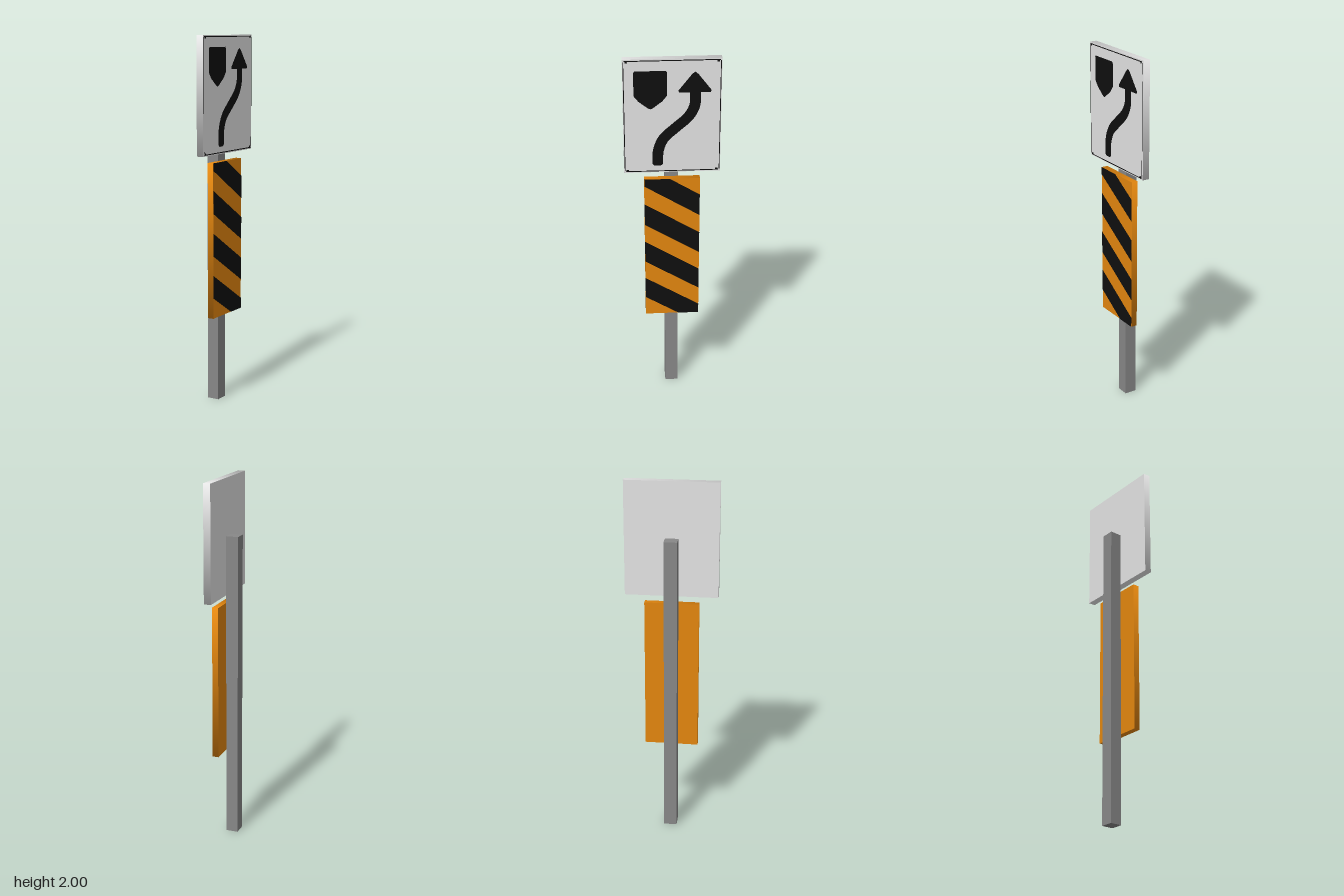
import * as THREE from 'three';

const mat = (name, color) => {
  const m = new THREE.MeshStandardMaterial({ color });
  m.name = name;
  return m;
};

export function createModel() {
  const group = new THREE.Group();
  const steel = mat('steel grey', 0x888888);
  const white = mat('sign white', 0xe4e4e4);
  const orange = mat('safety orange', 0xe4870f);
  const black = mat('marking black', 0x0f0f0f);

  const add = (name, geometry, material) => {
    const mesh = new THREE.Mesh(geometry, material);
    mesh.name = name;
    group.add(mesh);
    return mesh;
  };

  const box = (x0, x1, y0, y1, z0, z1) =>
    new THREE.BoxGeometry(x1 - x0, y1 - y0, z1 - z0)
      .translate((x0 + x1) / 2, (y0 + y1) / 2, (z0 + z1) / 2);

  // Panel whose rim is shaded smoothly round its corners
  const panel = (x0, x1, y0, y1, z0, z1) => {
    const g = box(x0, x1, y0, y1, z0, z1);
    const p = g.attributes.position, n = g.attributes.normal;
    for (let i = 0; i < p.count; i++) {
      if (Math.abs(n.getX(i)) > 0.5) continue;
      n.setXYZ(i, 0, Math.sign(p.getY(i) - (y0 + y1) / 2) * Math.SQRT1_2,
        Math.sign(p.getZ(i) - (z0 + z1) / 2) * Math.SQRT1_2);
    }
    return g;
  };

  // Flat marking facing +x; points are [u, y] with u running toward -z
  const marking = (name, points, x) => {
    const shape = new THREE.Shape(points.map(([u, y]) => new THREE.Vector2(u, y)));
    return add(name, new THREE.ShapeGeometry(shape).rotateY(Math.PI / 2).translate(x, 0, 0), black);
  };

  add('post', box(-0.055, 0.012, 0, 1.695, -0.034, 0.037), steel);
  add('signPanel', panel(0.012, 0.051, 1.376, 2, -0.251, 0.251), white);
  add('hazardPanel', panel(0.014, 0.048, 0.49, 1.333, -0.147, 0.147), orange);

  // Slanted hazard stripes, clipped to the panel's height
  const clip = (poly, limit, sign) => {
    const out = [];
    poly.forEach((a, i) => {
      const b = poly[(i + 1) % poly.length];
      const da = sign * (limit - a[1]), db = sign * (limit - b[1]);
      if (da >= 0) out.push(a);
      if (da * db < 0) {
        const t = da / (da - db);
        out.push([a[0] + (b[0] - a[0]) * t, limit]);
      }
    });
    return out;
  };
  const w = 0.147, drop = 0.18;
  for (let i = 0; i < 4; i++) {
    const low = 0.602 + i * 0.23, high = low + 0.124;
    const quad = [[-w, low], [w, low - drop], [w, high - drop], [-w, high]];
    marking('hazardStripe', clip(clip(quad, 1.333, 1), 0.49, -1), 0.05);
  }

  // Shield symbol
  const face = 0.053;
  marking('shieldSymbol', [
    [-0.19, 1.938], [-0.032, 1.938], [-0.026, 1.93], [-0.026, 1.806], [-0.05, 1.775],
    [-0.1, 1.737], [-0.111, 1.733], [-0.122, 1.737], [-0.172, 1.775], [-0.196, 1.806], [-0.196, 1.93],
  ], face);

  // Curved arrow: a constant-width ribbon with a triangular head
  const path = new THREE.CatmullRomCurve3([
    [-0.075, 1.425], [-0.072, 1.5], [-0.045, 1.568], [0.02, 1.63],
    [0.085, 1.69], [0.115, 1.75], [0.117, 1.83],
  ].map(([u, y]) => new THREE.Vector3(u, y, 0)));
  const left = [], right = [], steps = 28, half = 0.028;
  for (let i = 0; i <= steps; i++) {
    const p = path.getPoint(i / steps), t = path.getTangent(i / steps);
    left.push([p.x - t.y * half, p.y + t.x * half]);
    right.push([p.x + t.y * half, p.y - t.x * half]);
  }
  const tail = [[-0.092, 1.415], [-0.06, 1.415]];
  marking('arrowShaft', [...right, ...left.reverse(), ...tail], face);
  marking('arrowHead', [
    [0.034, 1.82], [0.195, 1.82], [0.2, 1.83], [0.132, 1.918], [0.116, 1.931], [0.1, 1.918], [0.032, 1.832],
  ], face);

  // Fine border lines and corner fixings
  const rect = (name, u, y, du, dy) =>
    marking(name, [[u - du, y - dy], [u + du, y - dy], [u + du, y + dy], [u - du, y + dy]], face);
  for (const s of [-1, 1]) {
    rect('borderLine', 0, 1.688 + s * 0.304, 0.242, 0.0025);
    rect('borderLine', s * 0.246, 1.688, 0.002, 0.3);
    for (const t of [-1, 1]) rect('cornerFixing', s * 0.232, 1.688 + t * 0.298, 0.006, 0.004);
  }

  return group;
}
